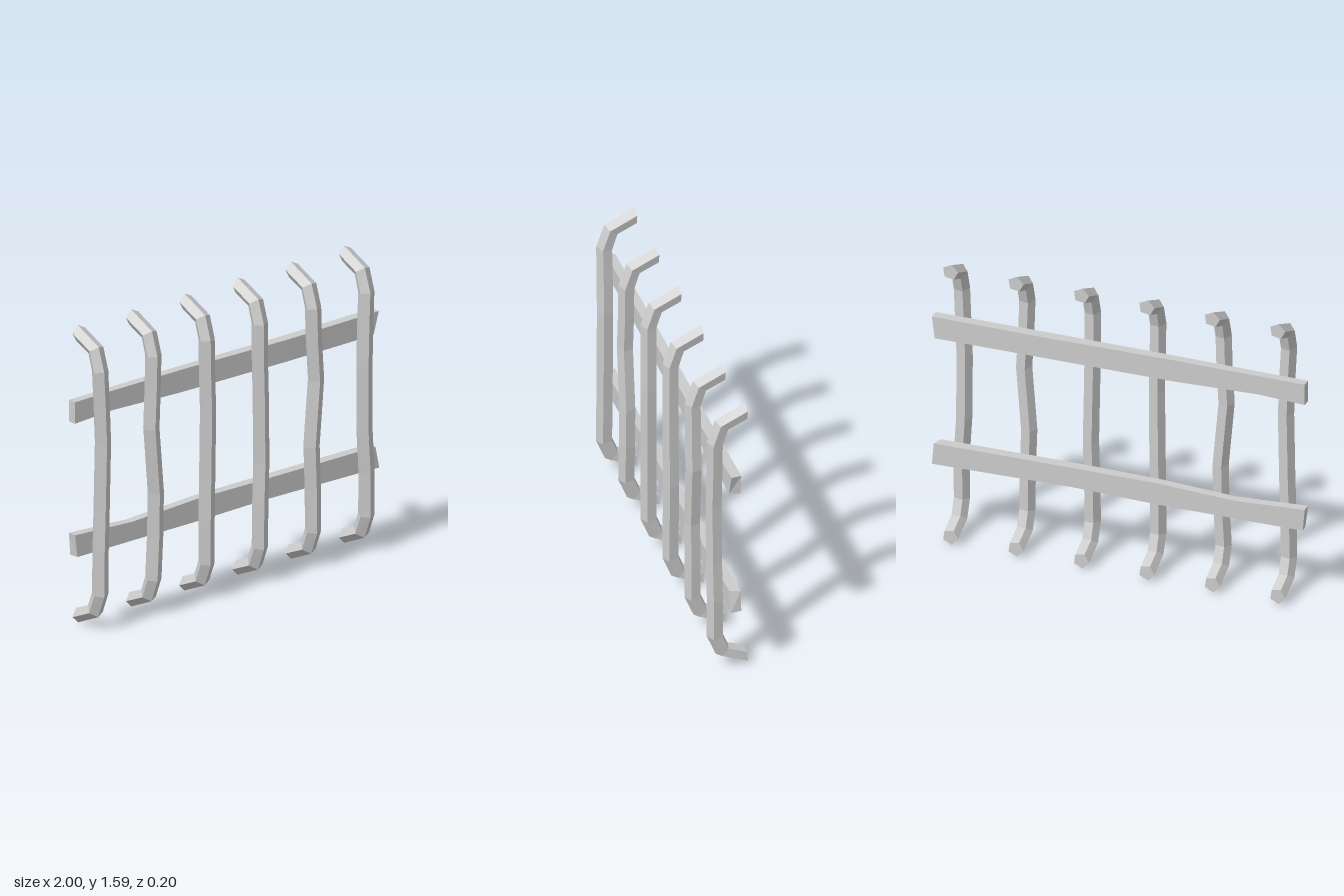
import * as THREE from 'three';

const material = new THREE.MeshStandardMaterial({
  color: 0xcccccc,
  flatShading: true,
});

// Skin a list of equal-sized rings of points and close both ends.
function loft(rings, name) {
  const n = rings[0].length;
  const index = [];
  for (let i = 0; i < rings.length - 1; i++) {
    for (let k = 0; k < n; k++) {
      const a = i * n + k;
      const b = i * n + ((k + 1) % n);
      index.push(a, a + n, b, b, a + n, b + n);
    }
  }
  const last = (rings.length - 1) * n;
  for (let k = 1; k < n - 1; k++) {
    index.push(0, k, k + 1);
    index.push(last, last + k + 1, last + k);
  }
  const geometry = new THREE.BufferGeometry();
  geometry.setAttribute('position', new THREE.Float32BufferAttribute(rings.flat(2), 3));
  geometry.setIndex(index);
  geometry.computeVertexNormals();
  const mesh = new THREE.Mesh(geometry, material);
  mesh.name = name;
  return mesh;
}

// Bar path: y, z, then the y and z of the direction towards the outer ridge.
const barPath = [
  [0.043, -0.1, -1, 0],
  [0.097, 0.022, -0.6, 0.8],
  [0.195, 0.06, -0.12, 1],
  [0.42, 0.06, 0, 1],
  [0.65, 0.06, 0, 1],
  [1.0, 0.062, 0, 1],
  [1.2, 0.06, 0, 1],
  [1.385, 0.06, 0.12, 1],
  [1.49, 0.026, 0.6, 0.8],
  [1.546, -0.1, 1, 0],
];

// Sideways bend of each bar at y = 0.42, 0.65, 1.0 and 1.2.
const bends = [
  [0.003, 0.01, 0.017, 0.01],
  [0.012, 0.016, -0.015, -0.005],
  [0.0, 0.004, 0.008, 0.003],
  [0.003, 0.01, 0.004, 0.0],
  [-0.002, -0.01, 0.018, 0.006],
  [0.002, -0.012, -0.014, -0.007],
];

// Five-sided bar whose two ends curl backwards.
function makeBar(x, bend) {
  const radius = 0.043;
  const rings = barPath.map(([y, z, outY, outZ], i) => {
    const shift = bend[i - 3] ?? 0;
    return Array.from({ length: 5 }, (_, k) => {
      const angle = THREE.MathUtils.degToRad(100 + 72 * k);
      const out = radius * Math.sin(angle);
      return [x + shift + radius * Math.cos(angle), y + out * outY, z + out * outZ];
    });
  });
  return loft(rings, 'verticalBar');
}

// Rail stations: x of the four corners (front low, front high, back high,
// back low), bottom y, top y and front z.
const upperRail = [
  [[-1, -1, -1, -1], 1.12, 1.235, 0.01],
  [[-0.75, -0.75, -0.75, -0.75], 1.133, 1.237, 0.01],
  [[-0.3, -0.3, -0.3, -0.3], 1.12, 1.24, 0.012],
  [[0.4, 0.4, 0.4, 0.4], 1.12, 1.236, 0.022],
  [[0.965, 1, 1, 0.985], 1.12, 1.24, 0.015],
];
const lowerRail = [
  [[-0.985, -1, -1, -0.99], 0.405, 0.525, 0.012],
  [[-0.62, -0.62, -0.62, -0.62], 0.405, 0.505, 0.01],
  [[-0.2, -0.2, -0.2, -0.2], 0.405, 0.525, 0.012],
  [[0.25, 0.25, 0.25, 0.25], 0.416, 0.525, 0.02],
  [[1, 0.975, 0.99, 1], 0.405, 0.522, 0.018],
];

function makeRail(stations, name) {
  const back = -0.037;
  const rings = stations.map(([x, low, high, front]) => [
    [x[0], low, front],
    [x[1], high, front],
    [x[2], high, back],
    [x[3], low, back],
  ]);
  return loft(rings, name);
}

export function createModel() {
  const model = new THREE.Group();
  model.name = 'barredGrate';
  bends.forEach((bend, i) => model.add(makeBar(-0.878 + 0.351 * i, bend)));
  model.add(makeRail(upperRail, 'upperRail'));
  model.add(makeRail(lowerRail, 'lowerRail'));
  return model;
}
